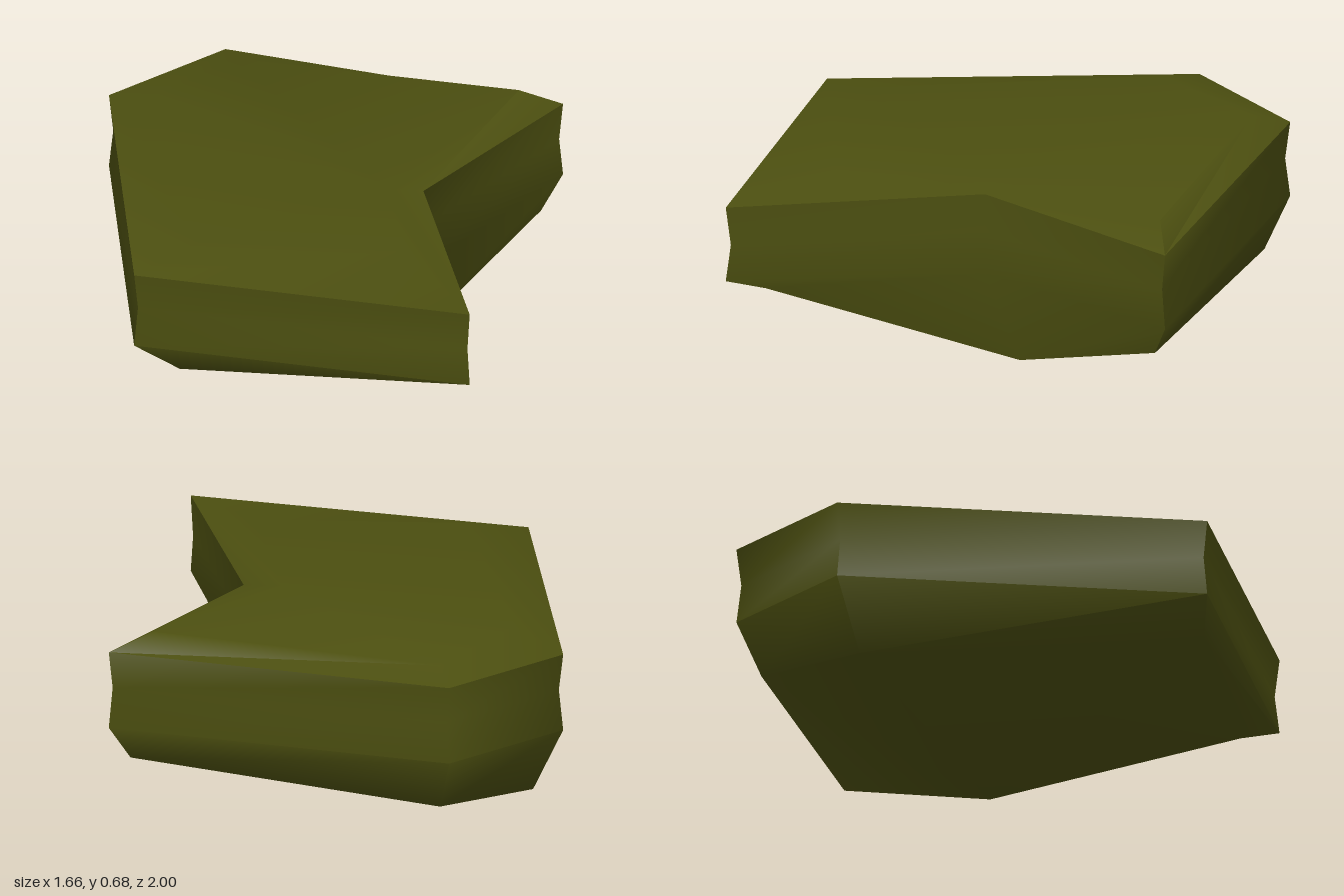
import * as THREE from 'three';
import { toCreasedNormals } from 'three/addons/utils/BufferGeometryUtils.js';

// Stacked six-cornered rings, clockwise seen from above, starting at the back corner.
const outline = [[-0.2, -1], [0.83, -0.39], [0.24, 0.12], [0.21, 1], [-0.83, 0.47], [-0.65, -0.77]];
const ring = (heights, scale = 1) => outline.map(([x, z], i) => [x * scale, heights[i], z * scale]);

const rings = [
  // crown, with a shallow dip by the inner corner
  [[-0.2, 0.645, -0.87], [0.68, 0.675, -0.4], [0.12, 0.62, 0.08], [0.08, 0.67, 0.6], [-0.6, 0.67, 0.4], [-0.52, 0.67, -0.62]],
  // rim, waist and lower edge of the walls
  ring([0.61, 0.61, 0.62, 0.625, 0.61, 0.61]),
  ring([0.48, 0.48, 0.48, 0.485, 0.48, 0.48], 0.982),
  ring([0.34, 0.34, 0.33, 0.355, 0.34, 0.34]),
  // underside
  [[-0.19, 0.155, -0.91], [0.75, 0.22, -0.37], [0.235, 0, 0], [0.19, 0.31, 0.86], [-0.68, 0.25, 0.5], [-0.57, 0.1, -0.67]],
];

function rockGeometry() {
  const n = outline.length, last = (rings.length - 1) * n, inner = 2;
  const index = [];
  // walls between neighbouring rings
  for (let r = 0; r < rings.length - 1; r++) {
    for (let i = 0; i < n; i++) {
      const a = r * n + i, b = r * n + (i + 1) % n;
      index.push(a, b, b + n, a, b + n, a + n);
    }
  }
  // top and bottom fan out from the inner corner
  for (let k = 1; k < n - 1; k++) {
    const p = (inner + k) % n, q = (inner + k + 1) % n;
    index.push(inner, q, p, last + inner, last + p, last + q);
  }
  const geometry = new THREE.BufferGeometry();
  geometry.setAttribute('position', new THREE.Float32BufferAttribute(rings.flat(2), 3));
  geometry.setIndex(index);
  return toCreasedNormals(geometry, 1.05);
}

export function createModel() {
  const group = new THREE.Group();
  group.name = 'rock';
  const olive = new THREE.MeshStandardMaterial({ color: 0x4c4f10 });
  olive.name = 'dark olive';
  const body = new THREE.Mesh(rockGeometry(), olive);
  body.name = 'rockBody';
  group.add(body);
  return group;
}
